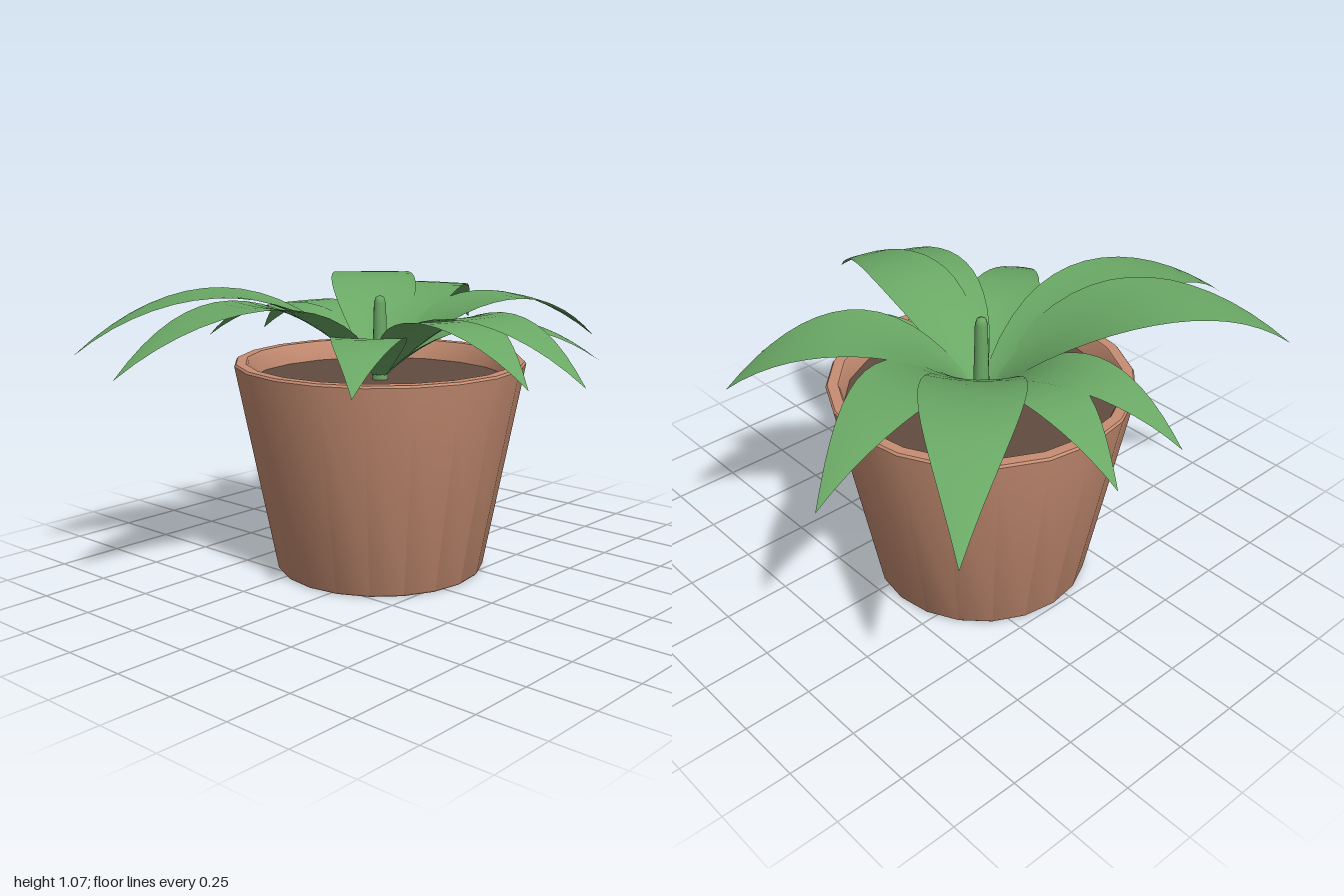
import * as THREE from 'three';
import { toCreasedNormals } from 'three/addons/utils/BufferGeometryUtils.js';

const CX = -0.095, CZ = -0.075; // axis of the pot

// Tapering, arching leaf from the pot axis to a tip, channelled near its base
function leafGeometry([tipX, tipZ, tipY, peak, half]) {
  const geo = new THREE.PlaneGeometry(1, 1, 6, 16);
  const pos = geo.attributes.position, uv = geo.attributes.uv;
  const dx = tipX - CX, dz = tipZ - CZ, len = Math.hypot(dx, dz);
  const baseY = 0.72;
  const ctrlY = 2 * peak - (baseY + tipY) / 2;
  for (let i = 0; i < pos.count; i++) {
    const t = uv.getY(i), s = uv.getX(i) * 2 - 1;
    const w = half * Math.max(0, Math.sin(Math.PI * Math.pow(0.01 + 0.99 * t, 0.8)));
    const y = (1 - t) ** 2 * baseY + 2 * t * (1 - t) * ctrlY + t * t * tipY;
    const channel = w * (0.35 * (1 - t) ** 2 - 0.06) * s * s;
    pos.setXYZ(i, dx * t - (dz / len) * w * s, y + channel, dz * t + (dx / len) * w * s);
  }
  geo.computeVertexNormals();
  return geo;
}

export function createModel() {
  const clay = new THREE.MeshStandardMaterial({ color: 0xc68d72 });
  clay.name = 'terracotta';
  const earth = new THREE.MeshStandardMaterial({ color: 0x614b3e });
  earth.name = 'soil brown';
  const green = new THREE.MeshStandardMaterial({ color: 0x6aa865, side: THREE.DoubleSide });
  green.name = 'leaf green';

  const model = new THREE.Group();
  model.name = 'pottedPlant';
  const plant = new THREE.Group();
  plant.name = 'plant';
  plant.position.set(CX, 0, CZ);
  model.add(plant);

  const add = (name, geo, mat, y = 0) => {
    const mesh = new THREE.Mesh(geo, mat);
    mesh.name = name;
    mesh.position.y = y;
    plant.add(mesh);
    return mesh;
  };

  // Pot with a thin open rim
  const profile = [
    [0, 0], [0.388, 0], [0.396, 0.008], [0.546, 0.792], [0.54, 0.8],
    [0.503, 0.8], [0.497, 0.792], [0.482, 0.7],
  ].map(([r, y]) => new THREE.Vector2(r, y));
  add('pot', toCreasedNormals(new THREE.LatheGeometry(profile, 20), 0.6), clay);

  // Soil disc
  add('soil', new THREE.CircleGeometry(0.488, 20).rotateX(-Math.PI / 2).rotateY(Math.PI / 2), earth, 0.725);

  // Central shoot
  const shoot = [[0.032, 0.7], [0.027, 0.85], [0.023, 1.01], [0.016, 1.032], [0, 1.04]]
    .map(([r, y]) => new THREE.Vector2(r, y));
  add('centralShoot', new THREE.LatheGeometry(shoot, 12), green);

  // Leaves: tip x, tip z, tip height, arch height, half width
  const leaves = [
    [-0.88, -0.865, 0.85, 1.06, 0.17],
    [-0.39, -1.0, 0.84, 1.03, 0.15],
    [0.36, -0.83, 0.85, 1.02, 0.17],
    [0.56, -0.56, 0.805, 0.94, 0.13],
    [0.89, 0.05, 0.83, 1.01, 0.14],
    [0.8, 0.24, 0.84, 1.0, 0.14],
    [0.385, 0.6, 0.81, 0.94, 0.13],
    [-0.305, 0.99, 0.84, 1.04, 0.17],
    [-0.73, 0.845, 0.855, 1.06, 0.185],
    [-0.89, 0.07, 0.83, 0.97, 0.12],
    [-0.9, -0.24, 0.825, 0.97, 0.12],
  ];
  leaves.forEach((leaf, i) => add('leaf' + (i + 1), leafGeometry(leaf), green));

  return model;
}
